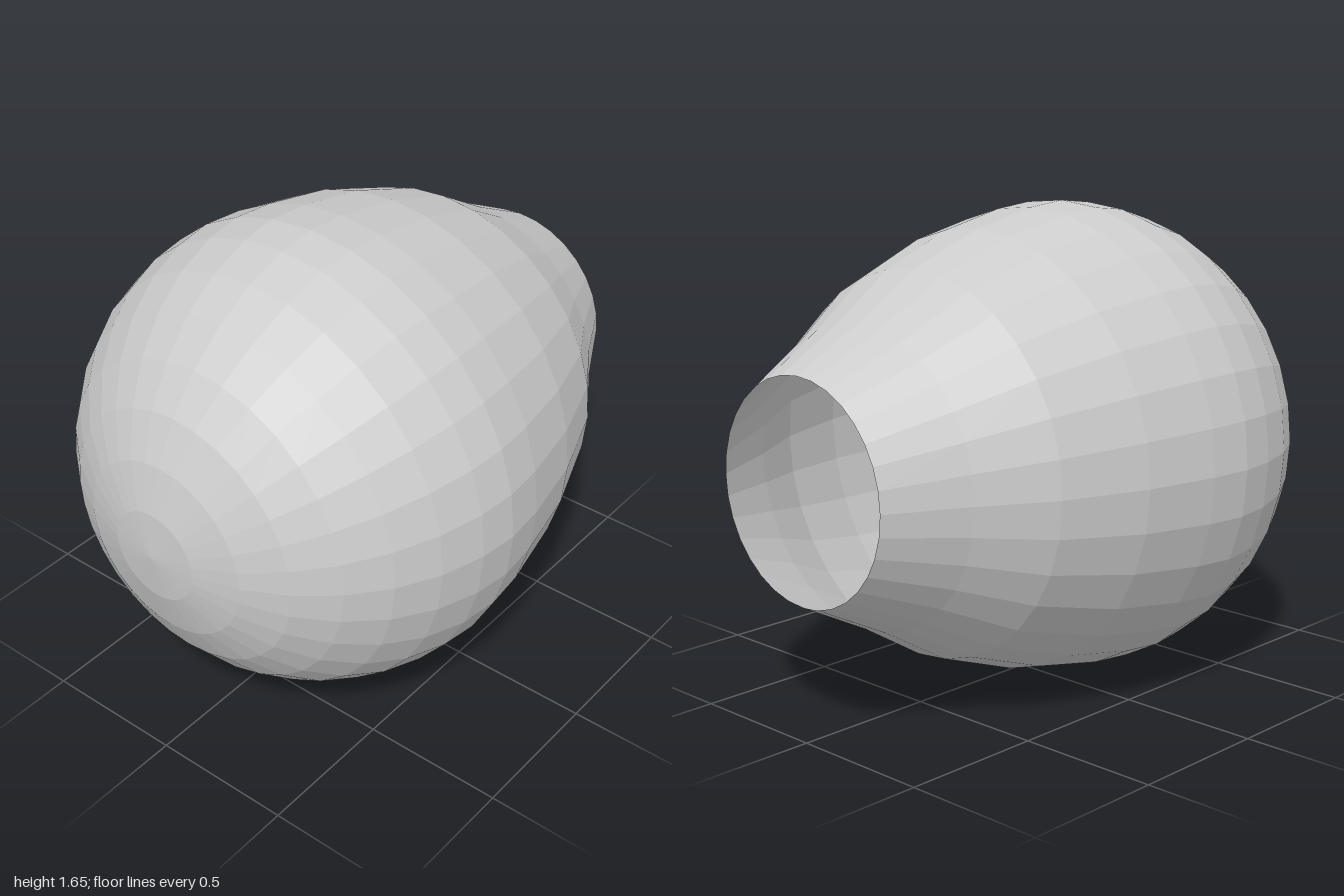
import * as THREE from 'three';

const R = 0.823;        // widest radius
const CENTRE_Y = 0.827; // height of the axis

export function createModel() {
  const group = new THREE.Group();
  group.name = 'bulb';

  // Profile as (radius, z): open neck, tapering body, widest ring
  const profile = [
    [0.37, -1], [0.505, -0.74], [0.65, -0.505], [0.756, -0.215], [0.809, 0.047], [R, 0.2],
  ].map(([r, z]) => new THREE.Vector2(r, z));

  // Round front end in even angular steps up to the pole
  for (let i = 1; i <= 8; i++) {
    const a = (i / 8) * Math.PI / 2;
    profile.push(new THREE.Vector2(i === 8 ? 0 : R * Math.cos(a), 1 - R + R * Math.sin(a)));
  }

  // Thin open shell turned about the front-to-back axis
  const geometry = new THREE.LatheGeometry(profile, 32);
  geometry.rotateX(Math.PI / 2);
  const shell = new THREE.Mesh(geometry, new THREE.MeshStandardMaterial({
    color: 0xcccccc, flatShading: true, side: THREE.DoubleSide,
  }));
  shell.name = 'bulbShell';
  shell.position.y = CENTRE_Y;
  group.add(shell);
  return group;
}
